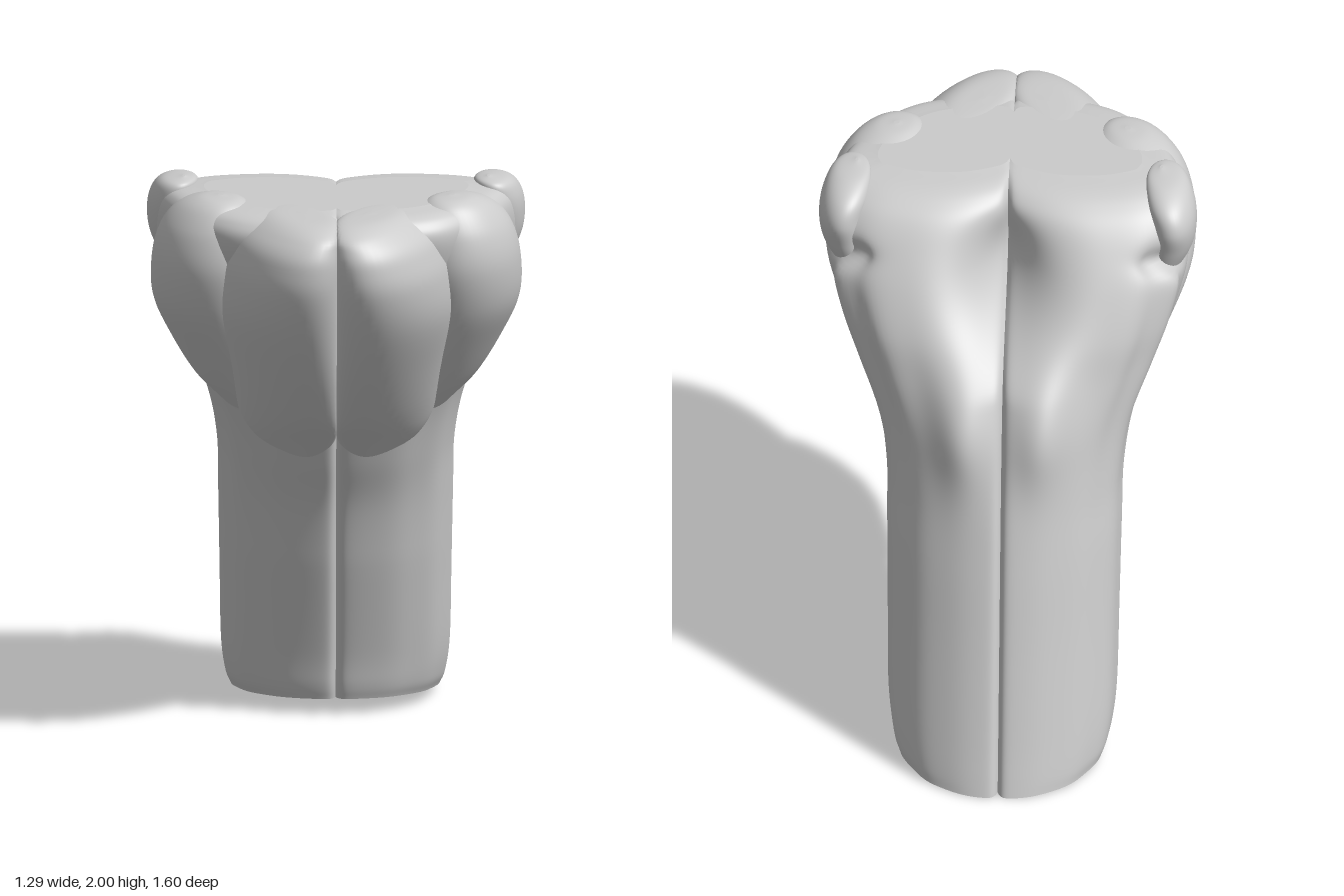
import * as THREE from 'three';

const material = new THREE.MeshStandardMaterial({ color: 0xcccccc, side: THREE.DoubleSide });
const { smoothstep } = THREE.MathUtils;
const gauss = (v, c, s) => Math.exp(-(((v - c) / s) ** 2));

// Skin a surface over cross-sections: rows are smoothly interpolated, point() places each vertex.
function loft(name, rows, point, { closed, steps, segments, side }) {
  const size = rows[0].length;
  const spline = new THREE.CubicInterpolant(rows.map((_, i) => i), rows.flat(), size);
  const pos = [], idx = [];
  const cols = closed ? segments : segments + 1;
  const tri = (a, b, c) => (side > 0 ? idx.push(a, b, c) : idx.push(a, c, b));
  for (let j = 0; j <= steps; j++) {
    const row = [...spline.evaluate((j / steps) * (rows.length - 1))];
    for (let i = 0; i < cols; i++) {
      const [x, y, z] = point(row, i / segments);
      pos.push(side * Math.max(0, x), y, z);
    }
  }
  for (let j = 0; j < steps; j++) {
    for (let i = 0; i < segments; i++) {
      const a = j * cols + i, b = j * cols + ((i + 1) % cols);
      tri(a, b, b + cols);
      tri(a, b + cols, a + cols);
    }
  }
  // End caps with their own vertices, so open ends keep a sharp rim
  for (const end of [0, steps]) {
    const start = pos.length / 3, mid = [0, 0, 0];
    for (let i = 0; i < cols; i++) {
      const p = pos.slice((end * cols + i) * 3, (end * cols + i) * 3 + 3);
      pos.push(...p);
      p.forEach((v, k) => { mid[k] += v / cols; });
    }
    pos.push(closed ? mid[0] : 0, mid[1], mid[2]);
    for (let i = 0; i < segments; i++) {
      const a = start + i, b = start + ((i + 1) % cols), c = start + cols;
      if (end) tri(c, a, b); else tri(c, b, a);
    }
  }
  const geometry = new THREE.BufferGeometry();
  geometry.setAttribute('position', new THREE.Float32BufferAttribute(pos, 3));
  geometry.setIndex(idx);
  geometry.computeVertexNormals();
  const mesh = new THREE.Mesh(geometry, material);
  mesh.name = name;
  return mesh;
}

// Half stem: height, half width, front z, back z, z of widest point
const stemRows = [
  [0.00, 0.355, -0.145, -0.80, -0.46],
  [0.06, 0.375, -0.125, -0.785, -0.44],
  [0.20, 0.39, -0.09, -0.75, -0.40],
  [0.50, 0.395, 0.005, -0.68, -0.33],
  [0.80, 0.40, 0.105, -0.614, -0.26],
  [1.00, 0.405, 0.205, -0.565, -0.20],
  [1.20, 0.44, 0.30, -0.50, -0.14],
  [1.40, 0.515, 0.39, -0.42, -0.08],
  [1.55, 0.57, 0.46, -0.365, -0.05],
  [1.70, 0.61, 0.54, -0.285, -0.03],
  [1.82, 0.62, 0.60, -0.205, 0.00],
  [1.90, 0.61, 0.62, -0.14, 0.04],
  [1.945, 0.585, 0.60, -0.08, 0.08],
  [1.97, 0.54, 0.56, -0.02, 0.12],
  [1.982, 0.45, 0.49, 0.06, 0.16],
];

function stemPoint([y, w, front, back, mid], t) {
  const a = Math.PI * t - 0.4 * Math.sin(2 * Math.PI * t);
  const s = Math.max(0, Math.sin(a)), c = Math.cos(a);
  // Soft lengthwise ridges on the flank
  const ridge = 1 + (0.006 + 0.014 * gauss(y, 1.5, 0.3)) * Math.cos(13 * a) * s;
  let x = w * s ** (0.94 - 0.16 * smoothstep(y, 1.1, 1.6)) * ridge;
  let z = mid + c * (c > 0 ? front - mid : mid - back) * ridge;
  // Midline furrow
  z -= Math.sign(c) * 0.035 * Math.exp(-x / 0.011);
  if (c < 0) {
    // Paired back swellings, and the deep hollow that opens above them
    z -= 0.07 * gauss(y, 1.3, 0.2) * gauss(x, 0.14, 0.11);
    const open = smoothstep(y, 1.38, 1.72) * (1 - 0.7 * smoothstep(y, 1.72, 1.97));
    z += 0.27 * open * Math.exp(-((x / 0.13) ** 1.3));
  }
  // Notch below the side knob
  x -= 0.08 * gauss(y, 1.77, 0.05) * gauss(z, -0.1, 0.07) * smoothstep(x, 0.3, 0.5);
  // The bottom cut rises towards the front
  return [x, y + 0.09 * (z - back) * Math.max(0, 1 - y / 0.6), z];
}

// Swellings: height, centre x, x radius, front z, z radius; shear leans the crest to the midline
const lobes = {
  frontLobe: { shear: 0.09, rows: [
    [0.98, 0.12, 0.05, 0.16, 0.05],
    [1.09, 0.145, 0.12, 0.28, 0.11],
    [1.20, 0.16, 0.155, 0.405, 0.18],
    [1.40, 0.182, 0.178, 0.575, 0.25],
    [1.60, 0.20, 0.197, 0.715, 0.29],
    [1.75, 0.195, 0.193, 0.79, 0.31],
    [1.85, 0.18, 0.18, 0.805, 0.30],
    [1.91, 0.165, 0.163, 0.79, 0.27],
    [1.955, 0.14, 0.135, 0.75, 0.23],
    [1.98, 0.12, 0.09, 0.67, 0.14],
    [1.985, 0.11, 0.01, 0.54, 0.01],
  ] },
  sideLobe: { shear: 0.03, rows: [
    [1.10, 0.27, 0.03, 0.10, 0.05],
    [1.20, 0.31, 0.085, 0.18, 0.12],
    [1.30, 0.36, 0.125, 0.255, 0.17],
    [1.45, 0.41, 0.155, 0.36, 0.21],
    [1.60, 0.445, 0.178, 0.45, 0.23],
    [1.75, 0.445, 0.183, 0.505, 0.23],
    [1.87, 0.435, 0.165, 0.505, 0.20],
    [1.95, 0.415, 0.13, 0.475, 0.15],
    [1.99, 0.40, 0.075, 0.43, 0.08],
    [2.00, 0.395, 0.01, 0.36, 0.01],
  ] },
  sideKnob: { shear: 0, rows: [
    [1.55, 0.47, 0.03, 0.06, 0.05],
    [1.68, 0.525, 0.062, 0.11, 0.09],
    [1.78, 0.555, 0.08, 0.14, 0.12],
    [1.87, 0.563, 0.082, 0.17, 0.145],
    [1.94, 0.55, 0.08, 0.19, 0.14],
    [1.985, 0.535, 0.06, 0.185, 0.095],
    [2.00, 0.52, 0.005, 0.13, 0.01],
  ] },
};

const lobePoint = (shear) => ([y, cx, rx, front, rz], t) => {
  const a = 2 * Math.PI * t, c = Math.cos(a);
  const lean = shear * c * Math.min(1, rx / 0.15);
  return [cx + rx * Math.sin(a) - lean, y, front - rz + rz * c];
};

export function createModel() {
  const model = new THREE.Group();
  model.name = 'stem';
  for (const side of [1, -1]) {
    const half = new THREE.Group();
    half.name = side > 0 ? 'leftHalf' : 'rightHalf';
    half.add(loft('stemBody', stemRows, stemPoint, { closed: false, steps: 126, segments: 96, side }));
    for (const [name, { shear, rows }] of Object.entries(lobes)) {
      half.add(loft(name, rows, lobePoint(shear), { closed: true, steps: 54, segments: 48, side }));
    }
    model.add(half);
  }
  return model;
}
